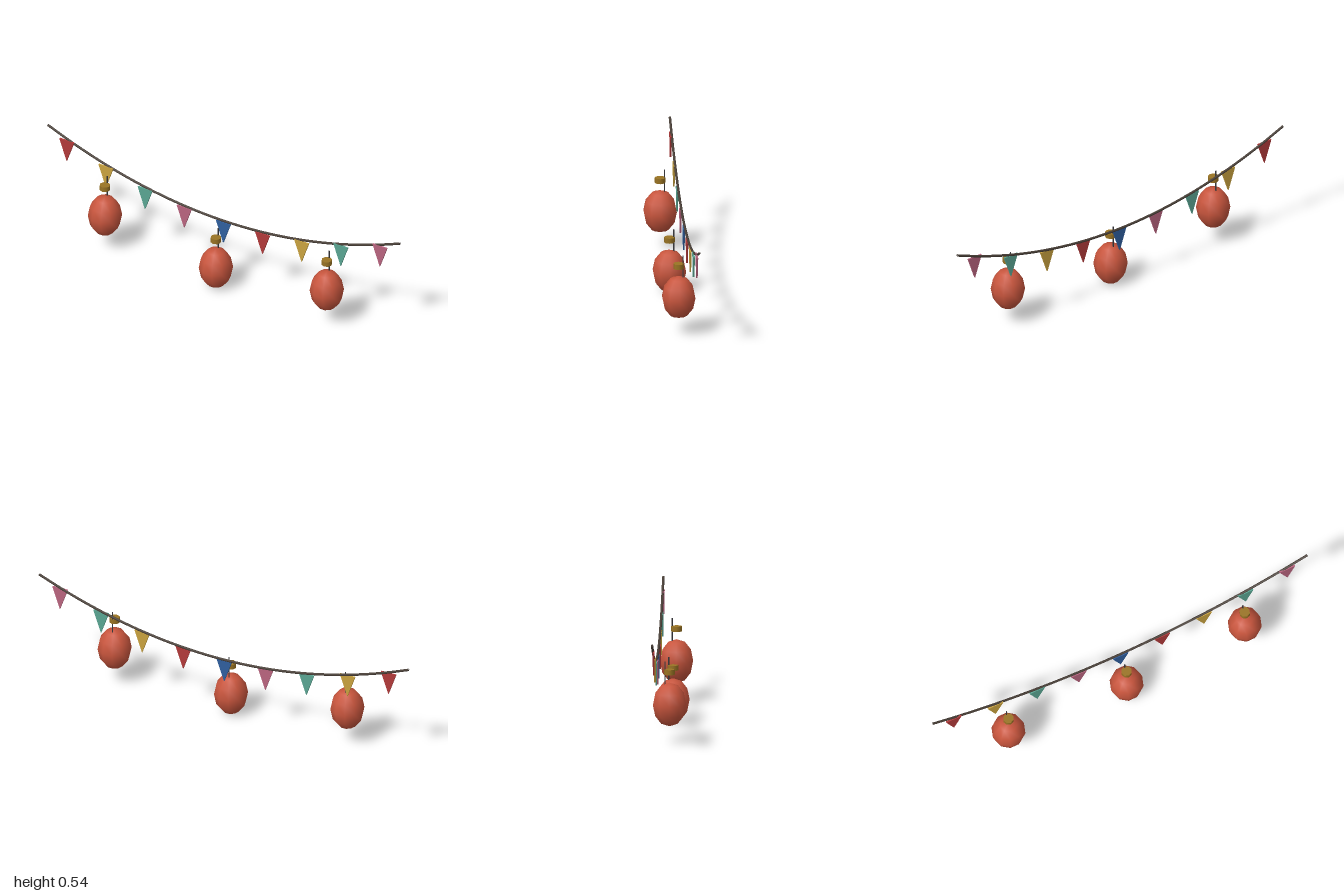
import * as THREE from 'three';

const ROPE_Z = -0.0735;
const ropeY = (x) => 0.331 + 0.209 * x * x;

const paint = (color) => new THREE.MeshStandardMaterial({ color });

function addMesh(parent, name, geometry, material, x, y, z) {
  const mesh = new THREE.Mesh(geometry, material);
  mesh.name = name;
  mesh.position.set(x, y, z);
  parent.add(mesh);
  return mesh;
}

export function createModel() {
  const model = new THREE.Group();
  model.name = 'festiveGarland';

  // Sagging rope with closed ends
  const points = [];
  for (let i = 0; i <= 16; i++) {
    const x = -1 + i / 8;
    points.push(new THREE.Vector3(x, ropeY(x), 0));
  }
  const ropeMaterial = paint(0x4a4038);
  const curve = new THREE.CatmullRomCurve3(points);
  addMesh(model, 'rope', new THREE.TubeGeometry(curve, 40, 0.006, 6), ropeMaterial, 0, 0, ROPE_Z);
  for (const side of [-1, 1]) {
    const end = addMesh(model, 'ropeEnd', new THREE.CircleGeometry(0.006, 6), ropeMaterial, side, ropeY(1), ROPE_Z);
    end.rotation.set(0, side * Math.PI / 2, 0);
  }

  // Triangular pennants hanging from the rope
  const triangle = new THREE.Shape([
    new THREE.Vector2(-0.041, 0),
    new THREE.Vector2(0, -0.115),
    new THREE.Vector2(0.041, 0),
  ]);
  const pennantGeometry = new THREE.ExtrudeGeometry(triangle, { depth: 0.008, bevelEnabled: false });
  const colors = [0xb23a3a, 0xc9a23f, 0x5aa592, 0xb9647f, 0x2f5f9e].map(paint);
  for (let i = 0; i < 9; i++) {
    const x = ((i - 4) * 2) / 9;
    addMesh(model, 'pennant', pennantGeometry, colors[i % 5], x, ropeY(x) - 0.005, -0.073);
  }

  // Paper lanterns, each with a cap and a hanging cord
  const globe = new THREE.SphereGeometry(1, 10, 6).scale(0.083, 0.1065, 0.083);
  const cap = new THREE.CylinderGeometry(0.026, 0.026, 0.025, 8);
  const cord = new THREE.CylinderGeometry(0.003, 0.003, 0.125, 6);
  const globeMaterial = paint(0xc8553d);
  const capMaterial = paint(0x9a7424);
  const cordMaterial = paint(0x3a3a3e);
  for (const x of [-0.63, 0, 0.63]) {
    const lantern = new THREE.Group();
    lantern.name = 'lantern';
    lantern.position.set(x, x === 0 ? 0.1075 : 0.192, 0);
    addMesh(lantern, 'globe', globe, globeMaterial, 0, 0, 0);
    addMesh(lantern, 'cap', cap, capMaterial, 0, 0.158, 0);
    addMesh(lantern, 'cord', cord, cordMaterial, 0, 0.147, -0.021);
    model.add(lantern);
  }

  return model;
}
